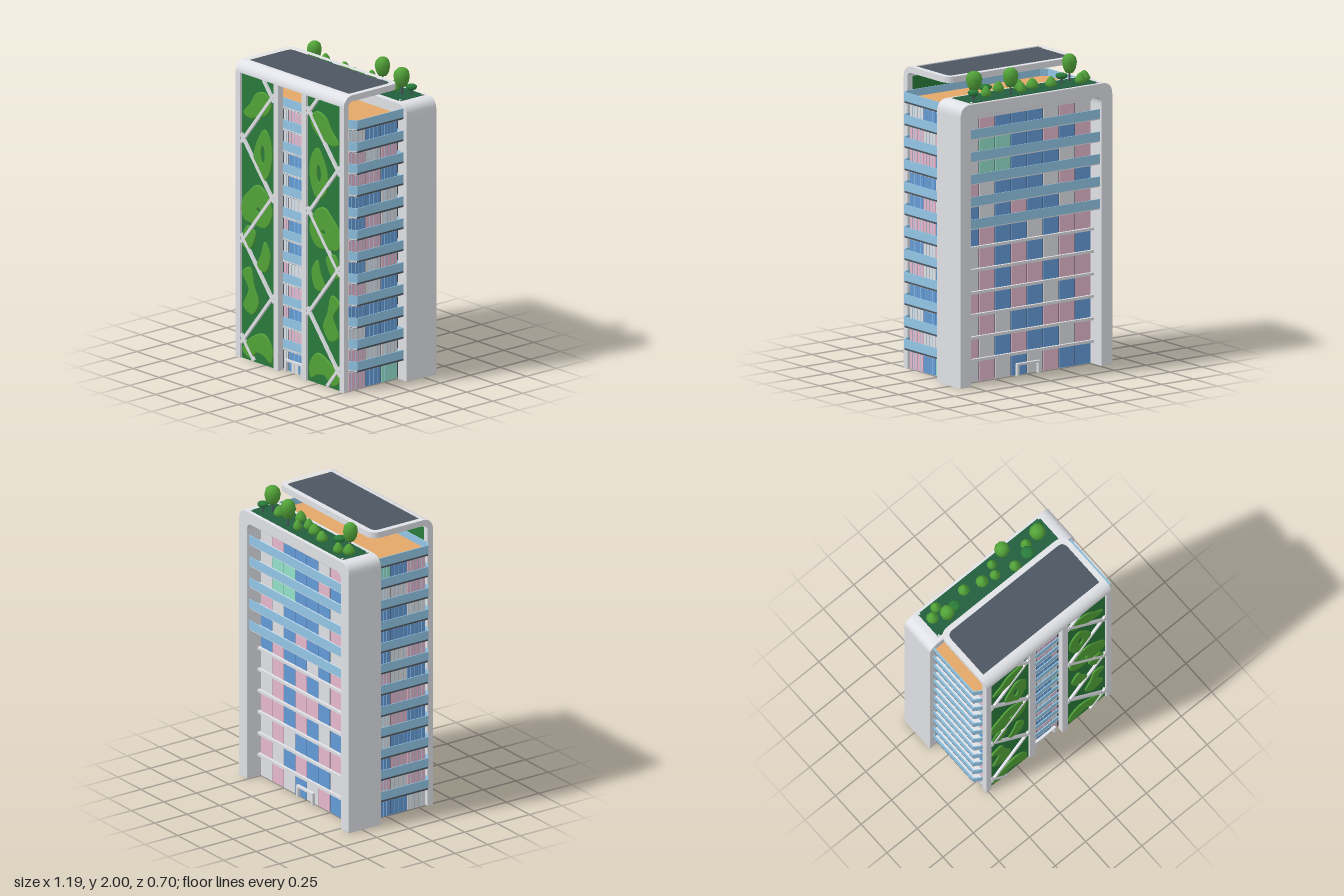
import * as THREE from 'three';
import { mergeGeometries } from 'three/addons/utils/BufferGeometryUtils.js';

const mat = (name, color) => Object.assign(new THREE.MeshStandardMaterial({ color }), { name });
const M = {
  concrete: mat('concrete', 0xdfe1e6), dark: mat('dark metal', 0x4d5761),
  rail: mat('rail glass', 0x92c6e6), blue: mat('blue glass', 0x649cd8),
  pink: mat('pink glass', 0xe6b8cd), teal: mat('teal glass', 0x93e2cb),
  deck: mat('timber deck', 0xe2a768), green: mat('planting green', 0x297b3b),
  leaf: mat('leaf green', 0x52a339), lawn: mat('lawn green', 0x235f3d),
};
const PANE = { b: 'blue', p: 'pink', t: 'teal', g: 'concrete' };
const FLOOR = 0.1445, FLOORS = 12;

export function createModel() {
  const model = new THREE.Group();
  const parts = new Map();
  // Collects geometry by part name and colour; merged at the end
  const add = (name, m, geo) => {
    const key = name + '|' + m;
    if (!parts.has(key)) parts.set(key, { name, m, list: [] });
    parts.get(key).list.push(geo.index ? geo.toNonIndexed() : geo);
  };
  const box = (name, m, x0, x1, y0, y1, z0, z1) =>
    add(name, m, new THREE.BoxGeometry(x1 - x0, y1 - y0, z1 - z0)
      .translate((x0 + x1) / 2, (y0 + y1) / 2, (z0 + z1) / 2));
  // Horizontal plate from a plan shape (x, z), between y0 and y1
  const plate = (name, m, shape, y0, y1) =>
    add(name, m, new THREE.ExtrudeGeometry(shape, { depth: y1 - y0, bevelEnabled: false, curveSegments: 8 })
      .rotateX(Math.PI / 2).translate(0, y1, 0));
  const poly = (pts) => new THREE.Shape(pts.map(([a, b]) => new THREE.Vector2(a, b)));
  // Rectangle whose two corners on the b1 side are rounded
  const arch = (w, b0, b1, r, Type = THREE.Shape) => {
    const s = new Type(), d = Math.sign(b1 - b0) * r;
    s.moveTo(-w, b0); s.lineTo(w, b0); s.lineTo(w, b1 - d);
    s.quadraticCurveTo(w, b1, w - r, b1); s.lineTo(-w + r, b1);
    s.quadraticCurveTo(-w, b1, -w, b1 - d); s.lineTo(-w, b0);
    return s;
  };

  // Core, with floor strips underneath and a glazed entrance strip
  const top = FLOOR * FLOORS;
  box('core', 'dark', -0.5, 0.5, 0.006, top, -0.25, 0.3);
  for (let i = 0; i < 24; i++) {
    const x = -0.479 + i * 0.958 / 23;
    for (let j = 0; j < 12; j++) {
      const z = -0.227 + j * 0.504 / 11;
      box('floorTile', Math.abs(x) < 0.07 ? 'rail' : 'concrete', x - 0.017, x + 0.017, 0, 0.007, z - 0.019, z + 0.019);
    }
  }

  // Glazing: each letter is one bay, floors run from the ground up
  const glaze = (rows, edges, pane, place) => rows.forEach((row, f) => {
    const y0 = f * FLOOR + 0.004, y1 = (f + 1) * FLOOR - 0.01;
    [...row].forEach((c, i) => {
      const a = edges[i], b = edges[i + 1], g = Math.sign(b - a) * 0.003;
      place('windows', PANE[c], a + g, b - g, y0, y1, 0.004);
      const n = Math.max(1, Math.round(Math.abs(b - a) / pane));
      for (let k = 1; k < n; k++) {
        const u = a + (b - a) * k / n;
        place('mullions', 'rail', u - 0.0012, u + 0.0012, y0, y1, 0.006);
      }
    });
  });
  const sideRows = ['pbt', 'pgg', 'gbb', 'bbb', 'pgb', 'bgp', 'ppb', 'bpg', 'bbg', 'ppb', 'pgp', 'gbb'];
  const frontRows = ['gbp', 'gpg', 'pbp', 'gpg', 'pgp', 'gbg', 'pbt', 'ggg', 'gbb', 'gbp', 'gpg', 'gpp'];
  const backRows = ['gpgbgpbb', 'pgbpbbgp', 'gpgbbppb', 'ppbpbgbp', 'gpbppbpp', 'gpbpbgpb',
    'bpbbgbpp', 'bgbpbbgp', 'pgbbbgpb', 'gttbbbgp', 'gttbbpbp', 'gpbbbgpg'];
  const sideEdges = [0.302, 0.16, 0.03, -0.105];
  const backEdges = Array.from({ length: 9 }, (_, i) => 0.5 - i * 0.125);
  const span = (u0, u1) => [Math.min(u0, u1), Math.max(u0, u1)];
  glaze(sideRows, sideEdges, 0.03, (n, m, u0, u1, y0, y1, t) =>
    box(n, m, 0.5, 0.5 + t, y0, y1, ...span(u0, u1)));
  glaze([...sideRows].reverse(), sideEdges, 0.03, (n, m, u0, u1, y0, y1, t) =>
    box(n, m, -0.5 - t, -0.5, y0, y1, ...span(u0, u1)));
  glaze(frontRows, [-0.11, -0.065, 0.06, 0.11], 0.03, (n, m, u0, u1, y0, y1, t) =>
    box(n, m, u0, u1, y0, y1, 0.3, 0.299 + t));
  glaze(backRows, backEdges, 0.1, (n, m, u0, u1, y0, y1, t) =>
    box(n, m, ...span(u0, u1), y0, y1, -0.25 - t, -0.25));

  // Wrap-around balconies with chamfered front corners
  const outline = (d, front = d) => [[-0.565 + d, -0.105], [0.565 - d, -0.105], [0.565 - d, 0.28 - front / 2],
    [0.52 - d / 2, 0.309 - front], [-0.52 + d / 2, 0.309 - front], [-0.565 + d, 0.28 - front / 2]];
  for (let f = 1; f <= FLOORS; f++) {
    const y = f * FLOOR;
    plate('balconySoffit', 'concrete', poly(outline(0.005, 0.001)), y - 0.012, y - 0.009);
    plate('balconyEdge', 'dark', poly(outline(0.001, 0.004)), y - 0.009, y + 0.002);
    plate('balconySlab', 'concrete', poly(outline(0.003, 0.001)), y - 0.006, y + 0.008);
    const rail = poly(outline(0));
    rail.holes.push(new THREE.Path(outline(0.006).map(([a, b]) => new THREE.Vector2(a, b))));
    plate('balconyRail', 'rail', rail, y + 0.003, y + 0.06);
    if (f === FLOORS) continue;
    // Rear: balconies on the upper floors, ledges on the lower ones
    const deep = f >= 7 ? -0.33 : -0.272;
    box('rearSlab', 'concrete', -0.51, 0.51, y - 0.008, y + 0.01, deep, -0.25);
    if (f >= 7) box('rearRail', 'rail', -0.51, 0.51, y, y + 0.06, deep - 0.006, deep);
  }
  plate('roofDeck', 'deck', poly(outline(0.008)), top + 0.008, top + 0.014);

  // Rear portal, open at the ground
  const outer = arch(0.591, 0.004, 1.816, 0.075).getPoints(8).slice(1);
  const inner = arch(0.514, 0.004, 1.74, 0.06).getPoints(8).slice(1).reverse();
  add('rearPortal', 'concrete', new THREE.ExtrudeGeometry(new THREE.Shape([...outer, ...inner]), {
    depth: 0.242, bevelThickness: 0.004, bevelSize: 0.004, bevelSegments: 2,
  }).translate(0, 0, -0.351));
  box('rearLintel', 'concrete', -0.51, 0.51, 1.695, 1.74, -0.26, -0.25);

  // Front canopy frame: bent front edge, posts and a roof ring
  const bend = new THREE.Shape();
  bend.absarc(0.28, 1.88, 0.07, 0, Math.PI / 2, false);
  bend.absarc(0.28, 1.88, 0.03, Math.PI / 2, 0, true);
  add('canopyBend', 'concrete', new THREE.ExtrudeGeometry(bend, { depth: 1.03, bevelEnabled: false, curveSegments: 10 })
    .rotateY(-Math.PI / 2).translate(0.515, 0, 0));
  const ring = arch(0.515, 0.28, -0.115, 0.075);
  ring.holes.push(arch(0.478, 0.275, -0.078, 0.045, THREE.Path));
  plate('canopyRing', 'concrete', ring, 1.91, 1.95);
  plate('canopyPanel', 'dark', arch(0.48, 0.277, -0.08, 0.045), 1.916, 1.944);

  // Green walls with posts, lattice and foliage, mirrored
  // Foliage outlines as distance from the centre and height, in hundredths
  const foliage = [
    [[45, 162], [38, 170], [33, 177], [24, 179], [19, 172], [24, 165], [32, 162], [39, 160]],
    [[25, 155], [19, 147], [19, 132], [25, 122], [33, 127], [35, 137], [31, 148]],
    [[46, 104], [39, 112], [32, 117], [24, 114], [18, 101], [24, 91], [36, 91], [45, 93]],
    [[42, 88], [34, 85], [39, 74], [46, 75]],
    [[25, 81], [20, 73], [24, 62], [32, 64], [28, 73]],
    [[46, 57], [39, 61], [35, 49], [31, 39], [37, 31], [45, 35], [40, 47]],
    [[46, 6], [37, 16], [25, 20], [18, 12], [19, 3], [25, 6], [32, 7], [39, 2]],
  ];
  const holes = { 1: [0.267, 1.385, 0.022, 0.06], 2: [0.31, 1.01, 0.018, 0.018] };
  for (const s of [-1, 1]) {
    const sx = (a, b) => span(s * a, s * b);
    box('framePost', 'concrete', ...sx(0.475, 0.515), 0, 1.88, 0.31, 0.35);
    box('framePost', 'concrete', ...sx(0.11, 0.155), 0, 1.885, 0.31, 0.35);
    box('greenWall', 'green', ...sx(0.155, 0.475), 0, 1.88, 0.313, 0.333);
    for (let k = 0; k < 7; k++) {
      // Zigzag bars rising from one node to the next
      const y = 2.11 - k * 0.33, slope = k % 2 ? -1.22 : 1.22;
      const line = (m) => y - 0.165 + slope * (m - 0.3125);
      const at = (v) => 0.3125 + (v - y + 0.165) / slope;
      const [[m0, v0], [m1, v1]] = [0.158, 0.472].map((m) => {
        const v = THREE.MathUtils.clamp(line(m), 0.01, 1.88);
        return [at(v), v];
      });
      add('lattice', 'concrete', new THREE.BoxGeometry(Math.hypot(m1 - m0, v1 - v0), 0.021, 0.018)
        .rotateZ(s * Math.atan2(v1 - v0, m1 - m0)).translate(s * (m0 + m1) / 2, (v0 + v1) / 2, 0.34));
    }
    foliage.forEach((pts, i) => {
      const curve = new THREE.CatmullRomCurve3(pts.map(([a, b]) => new THREE.Vector3(s * a / 100, b / 100, 0)), true);
      const shape = new THREE.Shape(curve.getPoints(36).slice(0, -1).map((p) => new THREE.Vector2(p.x, p.y)));
      if (holes[i]) {
        const [x, y, rx, ry] = holes[i];
        shape.holes.push(new THREE.Path().absellipse(s * x, y, rx, ry, 0, Math.PI * 2));
      }
      add('foliage', 'leaf', new THREE.ExtrudeGeometry(shape, {
        depth: 0.004, bevelThickness: 0.006, bevelSize: 0.008, bevelOffset: -0.004, bevelSegments: 2,
      }).translate(0, 0, 0.334));
    });
    // Door frames, front and rear
    for (const [z0, z1, w] of [[0.3, 0.32, 0.085], [-0.275, -0.25, 0.09]]) {
      box('doorFrame', 'concrete', ...sx(w - 0.015, w), 0, 0.08, z0, z1);
      box('doorFrame', 'concrete', ...sx(0, w), 0.067, 0.08, z0, z1);
    }
    box('doorLeaf', 'concrete', ...sx(0.002, 0.03), 0, 0.067, 0.3, 0.308);
    for (const z of [-0.33, -0.14]) box('gardenPost', 'concrete', ...sx(0.487, 0.499), 1.81, 1.828, z - 0.006, z + 0.006);
  }

  // Roof garden: bushes, flat shrubs and tall trees as x, z, radius
  box('gardenLawn', 'lawn', -0.5, 0.5, 1.81, 1.823, -0.335, -0.135);
  const profile = (pts) => pts.map(([a, b]) => new THREE.Vector2(a, b));
  const egg = profile([[0, 0], [0.55, 0.07], [0.85, 0.28], [1, 0.58], [0.85, 0.82], [0.5, 0.95], [0, 1]]);
  const drop = profile([[0, 0], [0.8, 0.06], [1, 0.25], [0.85, 0.5], [0.5, 0.8], [0.2, 0.96], [0, 1]]);
  const kinds = [
    { shape: drop, y0: 1.825, y1: 1.895, m: 'leaf', at: [[-0.45, -0.25, 0.041], [-0.39, -0.29, 0.036],
      [-0.18, -0.265, 0.039], [-0.055, -0.235, 0.042], [0.063, -0.28, 0.032], [0.035, -0.215, 0.035],
      [0.17, -0.18, 0.038], [0.315, -0.245, 0.036]] },
    { shape: egg, y0: 1.85, y1: 1.89, m: 'green', at: [[-0.3, -0.215, 0.04], [0.28, -0.19, 0.045], [0.44, -0.28, 0.037]] },
    { shape: egg, y0: 1.87, y1: 2, m: 'leaf', at: [[-0.38, -0.19, 0.048], [0.155, -0.29, 0.05], [0.4, -0.235, 0.053]] },
  ];
  for (const { shape, y0, y1, m, at } of kinds) for (const [x, z, r] of at) {
    add('treeCrown', m, new THREE.LatheGeometry(shape, 9).scale(r, y1 - y0, r).translate(x, y0, z));
    add('treeTrunk', 'dark', new THREE.CylinderGeometry(0.006, 0.008, y0 - 1.8, 6).translate(x, (y0 + 1.82) / 2, z));
  }

  for (const { name, m, list } of parts.values()) {
    const mesh = new THREE.Mesh(mergeGeometries(list), M[m]);
    mesh.name = name;
    model.add(mesh);
  }
  return model;
}
